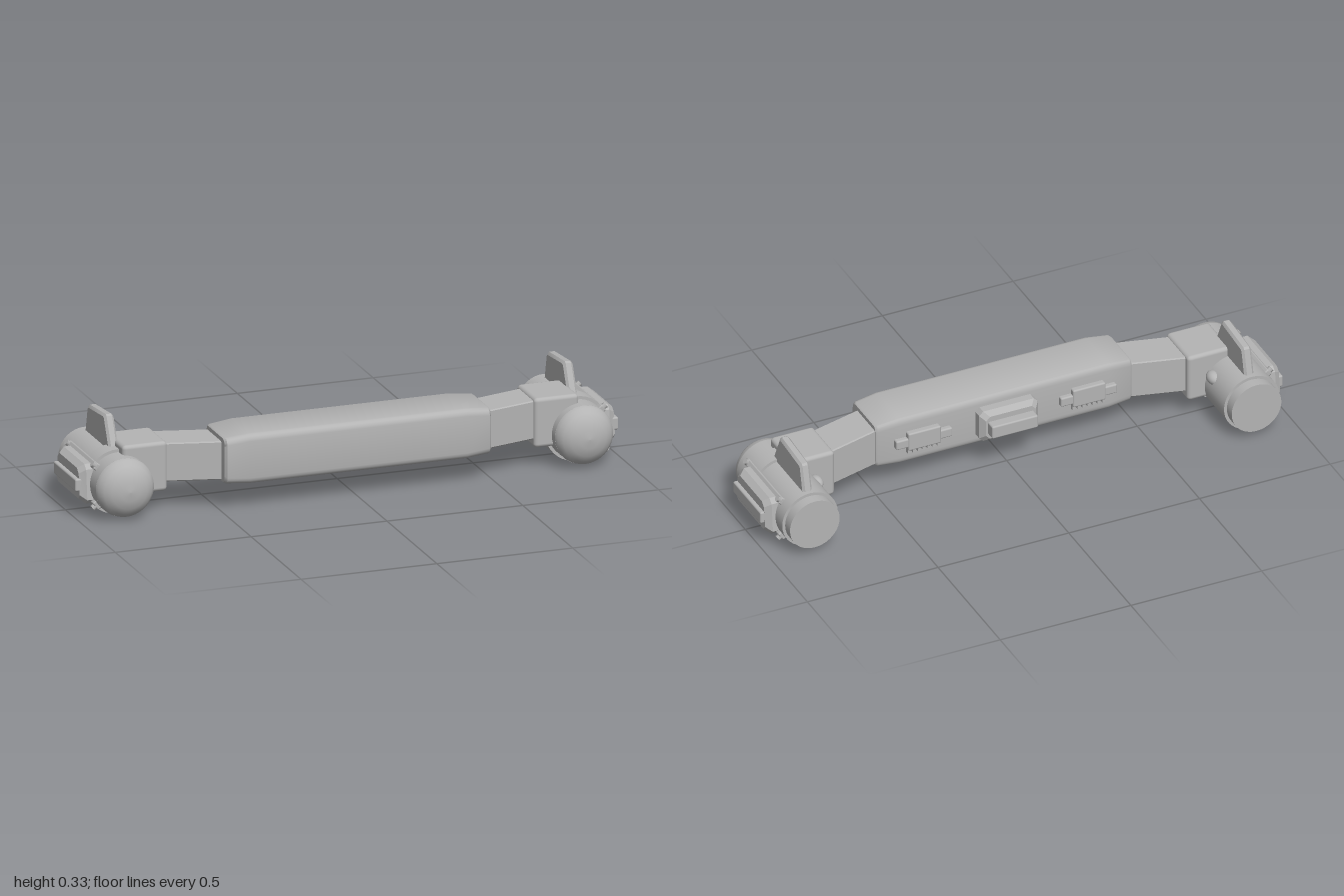
import * as THREE from 'three';
import { toCreasedNormals } from 'three/addons/utils/BufferGeometryUtils.js';
import { RoundedBoxGeometry } from 'three/addons/geometries/RoundedBoxGeometry.js';

const grey = new THREE.MeshStandardMaterial({ color: 0xb4b4b4 });
grey.name = 'plain grey';

// Skin a series of closed loops and cap both ends; winding is fixed by signed volume
function loft(rings, crease = 0.5) {
  const tris = [], n = rings[0].length;
  for (let r = 0; r < rings.length - 1; r++) {
    for (let i = 0; i < n; i++) {
      const j = (i + 1) % n, a = rings[r], b = rings[r + 1];
      tris.push([a[i], a[j], b[j]], [a[i], b[j], b[i]]);
    }
  }
  const first = rings[0], last = rings[rings.length - 1];
  for (let i = 1; i < n - 1; i++) {
    tris.push([first[0], first[i + 1], first[i]], [last[0], last[i], last[i + 1]]);
  }
  let volume = 0;
  for (const [a, b, c] of tris) volume += a.dot(b.clone().cross(c));
  const pts = tris.flatMap(([a, b, c]) => (volume < 0 ? [a, c, b] : [a, b, c]));
  const g = new THREE.BufferGeometry().setFromPoints(pts);
  return toCreasedNormals(g, crease);
}

// Cut each corner of a polygon of [u, v] pairs
function chamfer(corners, cut) {
  const out = [];
  corners.forEach((p, i) => {
    const c = new THREE.Vector2(...p), n = corners.length;
    for (const q of [corners[(i + n - 1) % n], corners[(i + 1) % n]]) {
      const d = new THREE.Vector2(...q).sub(c).normalize();
      out.push([c.x + d.x * cut, c.y + d.y * cut]);
    }
  });
  return out;
}

const rect = (u0, u1, v0, v1) => [[u0, v0], [u1, v0], [u1, v1], [u0, v1]];
const atX = (x, zy) => zy.map(([z, y]) => new THREE.Vector3(x, y, z));
const atZ = (z, xy) => xy.map(([x, y]) => new THREE.Vector3(x, y, z));

function add(parent, name, geometry, x = 0, y = 0, z = 0) {
  const m = new THREE.Mesh(geometry, grey);
  m.name = name;
  m.position.set(x, y, z);
  parent.add(m);
  return m;
}

const rbox = (w, h, d, r) => new RoundedBoxGeometry(w, h, d, 2, r);

function buildBody(root) {
  // Rounded cross-section, shrunk toward the ends
  const section = (x, y0, y1, z0, z1) => {
    const pts = [], r = 0.024;
    [[z1 - r, y1 - r], [z0 + r / 2, y1 - r], [z0 + r / 2, y0 + r], [z1 - r, y0 + r]].forEach(([cz, cy], k) => {
      const rz = k === 0 || k === 3 ? r : r / 2;
      for (let i = 0; i <= 4; i++) {
        const a = (k + i / 4) * Math.PI / 2;
        pts.push([cz + Math.cos(a) * rz, cy + Math.sin(a) * r]);
      }
    });
    return atX(x, pts);
  };
  const half = [[0.49, 0.102, 0.26, 0.026, 0.208], [0.483, 0.098, 0.264, 0.02, 0.216],
    [0.4, 0.092, 0.273, 0.015, 0.223]];
  const rings = [...half.map(([x, ...d]) => section(-x, ...d)),
    ...half.slice().reverse().map(([x, ...d]) => section(x, ...d))];
  add(root, 'mainBody', loft(rings, 0.7));

  // Central rear housing with a raised bar
  const rear = new THREE.Group();
  rear.name = 'rearHousing';
  root.add(rear);
  const outer = chamfer(rect(-0.112, 0.112, 0.118, 0.24), 0.015);
  const inner = chamfer(rect(-0.095, 0.095, 0.135, 0.225), 0.015);
  add(rear, 'rearHousingBase', loft([atZ(0.03, outer), atZ(-0.015, outer), atZ(-0.035, inner)]));
  add(rear, 'rearHousingBar', rbox(0.176, 0.05, 0.05, 0.006), 0, 0.18, -0.046);

  // Vent plates either side of it
  for (const s of [-1, 1]) {
    const vent = new THREE.Group();
    vent.name = 'rearVent';
    vent.position.set(s * 0.315, 0.18, 0);
    root.add(vent);
    add(vent, 'ventBar', rbox(0.215, 0.036, 0.03, 0.006), 0, 0, 0.012);
    add(vent, 'ventTab', rbox(0.125, 0.07, 0.032, 0.006), 0, 0.004, 0.01);
    for (let i = -3; i <= 3; i++) add(vent, 'ventTooth', new THREE.BoxGeometry(0.01, 0.02, 0.02), i * 0.019, -0.035, 0.012);
  }
}

function buildArm(root, s) {
  const end = (x, z0, z1) => atX(s * x, chamfer(rect(z0, z1, 0.105, 0.245), 0.004));
  add(root, 'arm', loft([end(0.47, 0.035, 0.18), end(0.7, -0.025, 0.122)]));
  add(root, 'armJoint', rbox(0.165, 0.18, 0.18, 0.014), s * 0.7575, 0.165, 0.05);
}

function buildPod(root, s) {
  const pod = new THREE.Group();
  pod.name = s > 0 ? 'leftPod' : 'rightPod';
  pod.position.set(s * 0.845, 0.117, 0);
  root.add(pod);
  const drum = (name, r, z0, z1) => {
    add(pod, name, new THREE.CylinderGeometry(r, r, z1 - z0, 40).rotateX(Math.PI / 2), 0, 0, (z0 + z1) / 2);
  };
  drum('podBarrel', 0.106, -0.195, 0.171);
  drum('podRearCap', 0.095, -0.234, -0.19);
  drum('podBand', 0.117, 0.034, 0.1);

  // Domed nose
  const profile = [[0.106, 0.17], [0.102, 0.188], [0.088, 0.206], [0.065, 0.222], [0.034, 0.232], [0, 0.235]];
  add(pod, 'podNose', new THREE.LatheGeometry(profile.map(p => new THREE.Vector2(...p)), 40).rotateX(Math.PI / 2));

  // Fin with bevelled edges
  const finSide = (x, k) => atX(x, chamfer(
    [[0.085 - k, 0.07], [0.015 - k * 0.6, 0.218 - k], [-0.155 + k * 0.6, 0.203 - k], [-0.188 + k, 0.07]], 0.006));
  add(pod, 'fin', loft([finSide(-0.018, 0.009), finSide(-0.01, 0), finSide(0.01, 0), finSide(0.018, 0.009)]));

  // Tapered outer panel with a raised bar
  const trapezoid = (x, k) => atX(s * x, chamfer(
    [[0.121 - k, -0.066 + k], [0.105 - k, 0.073 - k], [-0.133 + k, 0.073 - k], [-0.147 + k, -0.066 + k]], 0.016));
  add(pod, 'sidePanel', loft([trapezoid(0.06, 0), trapezoid(0.118, 0), trapezoid(0.14, 0.016)]));
  add(pod, 'sidePanelBar', rbox(0.03, 0.045, 0.222, 0.006), s * 0.14, 0.001, -0.011);

  // Rails above and below the panel, with a hexagonal bolt at each end
  for (const [a, z0, z1, w] of [[0.68, -0.14, 0.117, 0.026], [-0.64, -0.152, 0.13, 0.034]]) {
    const mount = new THREE.Group();
    mount.name = 'panelMount';
    mount.rotation.z = s * (a - Math.PI / 2);
    pod.add(mount);
    add(mount, 'rail', rbox(w, 0.022, z1 - z0 + 0.02, 0.005), 0, 0.108, (z0 + z1) / 2);
    for (const z of [z0, z1]) add(mount, 'bolt', new THREE.CylinderGeometry(0.011, 0.011, 0.04, 6), 0, 0.109, z);
  }

  // Small rounded boss on the inner side
  const boss = add(pod, 'innerBoss', new THREE.SphereGeometry(0.03, 20, 14), -s * 0.085, 0.05, -0.065);
  boss.scale.set(0.8, 0.8, 1.1);
}

export function createModel() {
  const root = new THREE.Group();
  root.name = 'twinPodBar';
  buildBody(root);
  for (const s of [-1, 1]) {
    buildArm(root, s);
    buildPod(root, s);
  }
  return root;
}
